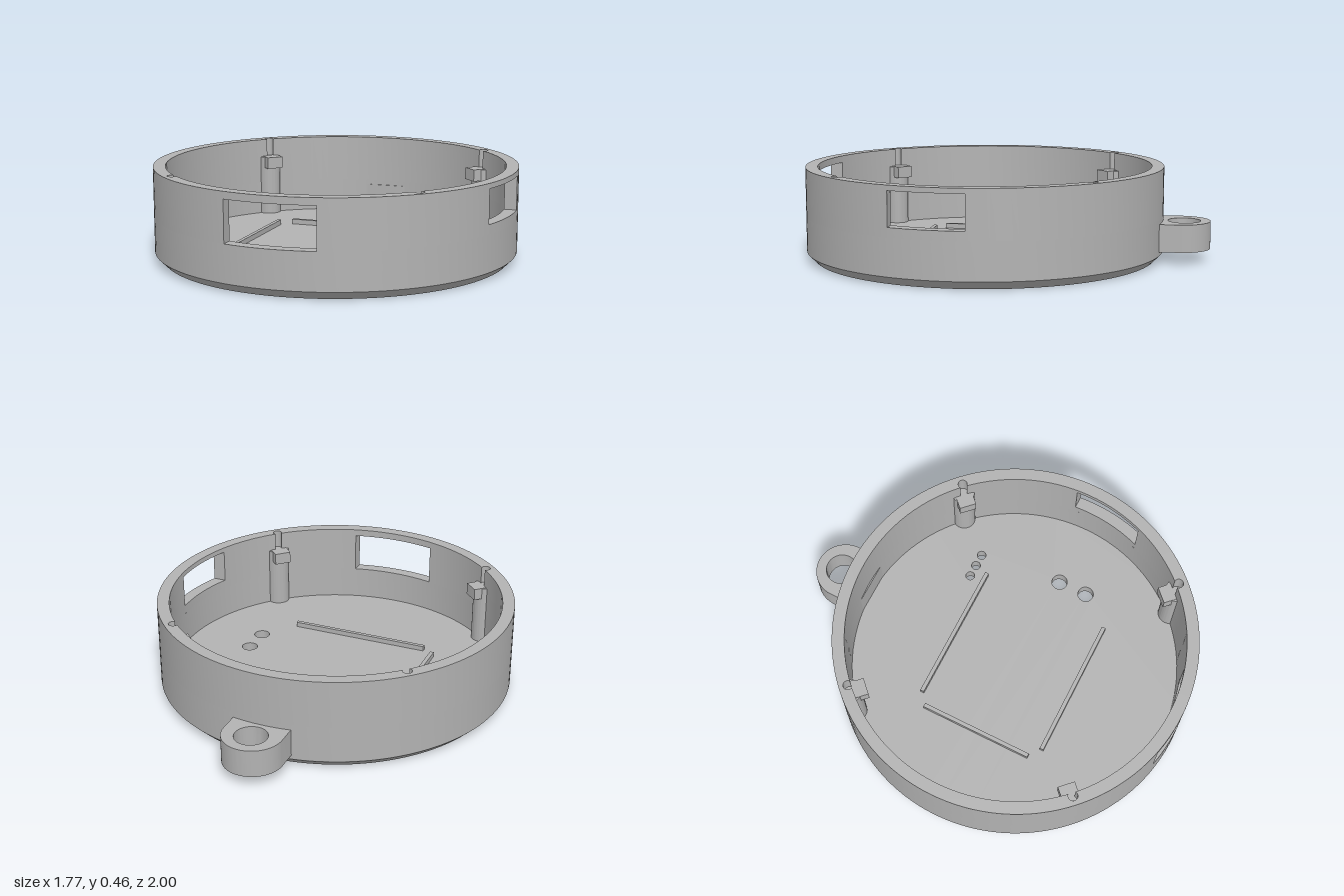
import * as THREE from 'three';
import { toCreasedNormals } from 'three/addons/utils/BufferGeometryUtils.js';

const OUTER = 0.885, INNER = 0.825, TOP = 0.455, FLOOR = 0.055;
const STEP = Math.PI / 64;
const SCREW_R = 0.84, SCREW_HOLE = 0.023;
const CORNERS = [1, 3, 5, 7].map(i => i * Math.PI / 4);

const polar = (r, a) => new THREE.Vector2(r * Math.cos(a), r * Math.sin(a));

// points on an arc, kept on one common set of facets
function arc(r, a0, a1) {
  const pts = [polar(r, a0)];
  for (let i = Math.floor(a0 / STEP) + 1; i * STEP < a1 - 1e-4; i++) {
    if (i * STEP > a0 + 1e-4) pts.push(polar(r, i * STEP));
  }
  pts.push(polar(r, a1));
  return pts;
}

// stands a flat outline (x, -z) up between two heights
function slab(shape, y0, y1) {
  const g = new THREE.ExtrudeGeometry(shape, { depth: y1 - y0, bevelEnabled: false, curveSegments: 32 });
  g.rotateX(-Math.PI / 2).translate(0, y0, 0);
  return toCreasedNormals(g, 0.5);
}

function circleHole(shape, x, y, r) {
  shape.holes.push(new THREE.Path().absarc(x, y, r, 0, Math.PI * 2, true));
}

// wall piece whose ends may be cut off-radially; start/end = [outer angle, inner angle]
function wallShape(start, end, notches = []) {
  const outer = arc(OUTER, start[0], end[0]);
  const inner = [];
  const phi = Math.acos((SCREW_R - INNER) / SCREW_HOLE);
  const half = SCREW_HOLE * Math.sin(phi) / INNER;
  let from = start[1];
  for (const a of notches) {
    inner.push(...arc(INNER, from, a - half));
    const c = polar(SCREW_R, a);
    for (let i = 1; i < 16; i++) {
      const t = a - Math.PI + phi + (i / 16) * 2 * (Math.PI - phi);
      inner.push(polar(SCREW_HOLE, t).add(c));
    }
    from = a + half;
  }
  inner.push(...arc(INNER, from, end[1]));
  return new THREE.Shape([...outer, ...inner.reverse()]);
}

export function createModel() {
  const model = new THREE.Group();
  model.name = 'roundEnclosure';
  const body = new THREE.Group();
  body.name = 'body';
  body.position.z = 0.115;
  model.add(body);

  const grey = new THREE.MeshStandardMaterial({ color: 0xb2b2b2 });
  grey.name = 'grey plastic';
  const add = (name, geometry) => {
    const mesh = new THREE.Mesh(geometry, grey);
    mesh.name = name;
    body.add(mesh);
    return mesh;
  };

  // floor with two large and three small holes
  const floor = new THREE.Shape(arc(0.845, 0, Math.PI * 2).slice(0, -1));
  for (const z of [0.13, 0.28]) circleHole(floor, 0.493, 0.115 - z, 0.04);
  for (const x of [0.315, 0.38, 0.445]) circleHole(floor, x, 0.115 + 0.3, 0.023);
  add('floor', slab(floor, 0, FLOOR));

  // chamfered bottom edge
  const chamfer = [[0.845, 0], [OUTER, 0.04], [0.84, 0.04]].map(p => new THREE.Vector2(...p));
  add('bottomChamfer', toCreasedNormals(new THREE.LatheGeometry(chamfer, 128), 0.4));

  // lower wall, a full ring
  const ring = new THREE.Shape(arc(OUTER, 0, Math.PI * 2).slice(0, -1));
  ring.holes.push(new THREE.Path(arc(INNER, 0, Math.PI * 2).slice(0, -1).reverse()));
  add('lowerWall', slab(ring, 0.04, 0.22));

  // straight-sided window edges, as angles on the outer and inner faces
  const edge = fn => [fn(OUTER), fn(INNER)];
  const frontA = edge(r => -Math.PI / 2 - Math.asin(0.22 / r));
  const frontB = edge(r => -Math.PI / 2 + Math.asin(0.213 / r));
  const sideA = edge(r => -Math.asin(0.295 / r));
  const sideB = edge(r => Math.asin(0.065 / r));

  // upper wall between the windows, with screw hole grooves
  const turn = frontA.map(a => a + Math.PI * 2);
  add('upperWallBack', slab(wallShape(sideB, turn, CORNERS.slice(0, 3)), 0.22, TOP));
  add('upperWallFront', slab(wallShape(frontB, sideA, [-Math.PI / 4]), 0.22, TOP));
  add('frontWindowLintel', slab(wallShape(frontA, frontB), 0.42, TOP));
  add('sideWindowSill', slab(wallShape(sideA, sideB), 0.22, 0.265));
  add('sideWindowLintel', slab(wallShape(sideA, sideB), 0.43, TOP));

  // screw posts with small support blocks facing the centre
  const post = new THREE.Shape();
  post.moveTo(SCREW_R + 0.025, -0.058);
  post.lineTo(SCREW_R + 0.025, 0.058);
  post.lineTo(SCREW_R, 0.058);
  post.absarc(SCREW_R, 0, 0.058, Math.PI / 2, Math.PI * 1.5, false);
  CORNERS.forEach(a => {
    add('screwPost', slab(post, 0.04, 0.362)).rotation.y = a;
    const block = new THREE.BoxGeometry(0.085, 0.06, 0.085).translate(0.758 + 0.0425, 0.335, 0);
    add('supportBlock', block).rotation.y = a;
  });

  // low ribs on the floor: x, z, width, depth
  for (const [x, z, w, d] of [[0, -0.225, 0.72, 0.02], [0, 0.445, 0.72, 0.02], [-0.42, 0.11, 0.02, 0.58]]) {
    add('floorRib', new THREE.BoxGeometry(w, 0.03, d).translate(x, 0.065, z - 0.115));
  }

  // hanging loop at the back
  const loop = new THREE.Shape();
  loop.moveTo(-0.11, 0.818);
  loop.lineTo(0.11, 0.818);
  loop.lineTo(0.145, 0.84);
  loop.lineTo(0.145, 0.97);
  loop.absarc(0, 0.97, 0.145, 0, Math.PI, false);
  loop.lineTo(-0.145, 0.84);
  circleHole(loop, 0, 0.987, 0.079);
  add('hangingLoop', slab(loop, 0.06, 0.195));

  return model;
}
